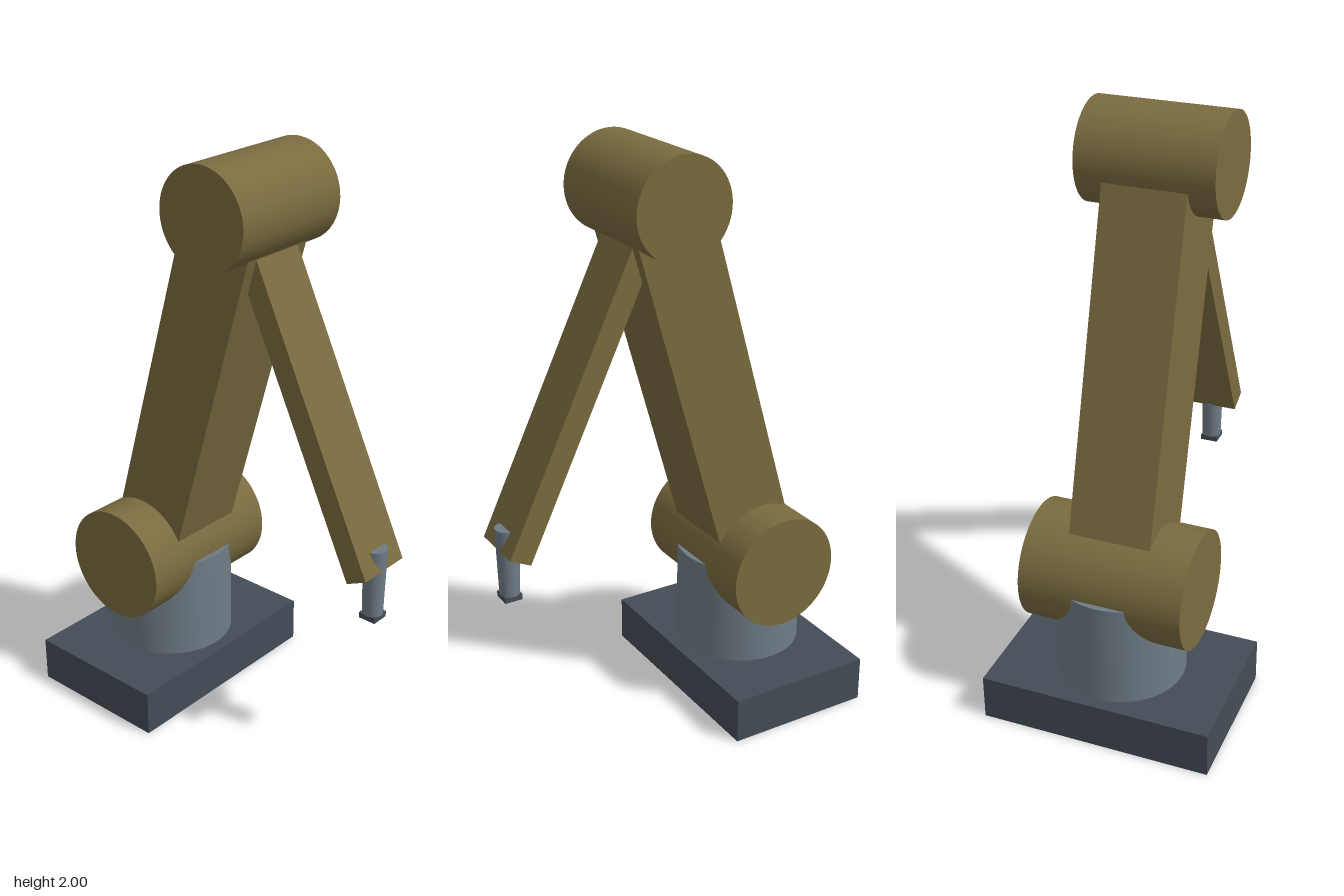
import * as THREE from 'three';

export function createModel() {
  const model = new THREE.Group();
  model.name = 'robotArm';

  const paint = (name, color) => {
    const m = new THREE.MeshStandardMaterial({ color });
    m.name = name;
    return m;
  };
  const bronze = paint('bronze', 0x7a6b3f);
  const slate = paint('slate', 0x434c56);
  const steel = paint('steel', 0x6f7c86);

  const add = (name, geometry, material, x, y, z) => {
    const mesh = new THREE.Mesh(geometry, material);
    mesh.name = name;
    mesh.position.set(x, y, z);
    model.add(mesh);
    return mesh;
  };

  // Joint centres in the side plane
  const shoulder = new THREE.Vector3(0, 0.525, -0.34);
  const elbow = new THREE.Vector3(0, 1.832, 0.04);
  const wrist = new THREE.Vector3(0, 0.73, 0.564);

  // Horizontal drum across x
  const joint = (name, centre, radius, length) => {
    const drum = new THREE.CylinderGeometry(radius, radius, length, 64).rotateZ(Math.PI / 2);
    return add(name, drum, bronze, centre.x, centre.y, centre.z);
  };

  // Straight beam between two joints
  const beam = (name, from, to, width, depth) => {
    const mid = from.clone().add(to).multiplyScalar(0.5);
    const dir = to.clone().sub(from);
    const mesh = add(name, new THREE.BoxGeometry(width, dir.length(), depth), bronze, mid.x, mid.y, mid.z);
    mesh.rotation.x = Math.atan2(dir.z, dir.y);
    return mesh;
  };

  // Base and turret
  add('basePlate', new THREE.BoxGeometry(0.8, 0.16, 0.52), slate, 0, 0.08, -0.34);
  add('pedestal', new THREE.CylinderGeometry(0.22, 0.22, 0.365, 64), steel, 0, 0.3425, -0.34);

  // Arm
  joint('shoulderJoint', shoulder, 0.2, 0.56);
  beam('upperArm', shoulder, elbow, 0.28, 0.28);
  joint('elbowJoint', elbow, 0.168, 0.46);
  beam('forearm', elbow, wrist, 0.2, 0.08);

  // Tool at the end of the forearm
  add('toolShaft', new THREE.CylinderGeometry(0.04, 0.034, 0.24, 32), steel, 0, 0.695, 0.562);
  add('toolTip', new THREE.BoxGeometry(0.062, 0.02, 0.062), slate, 0, 0.567, 0.562);

  return model;
}
